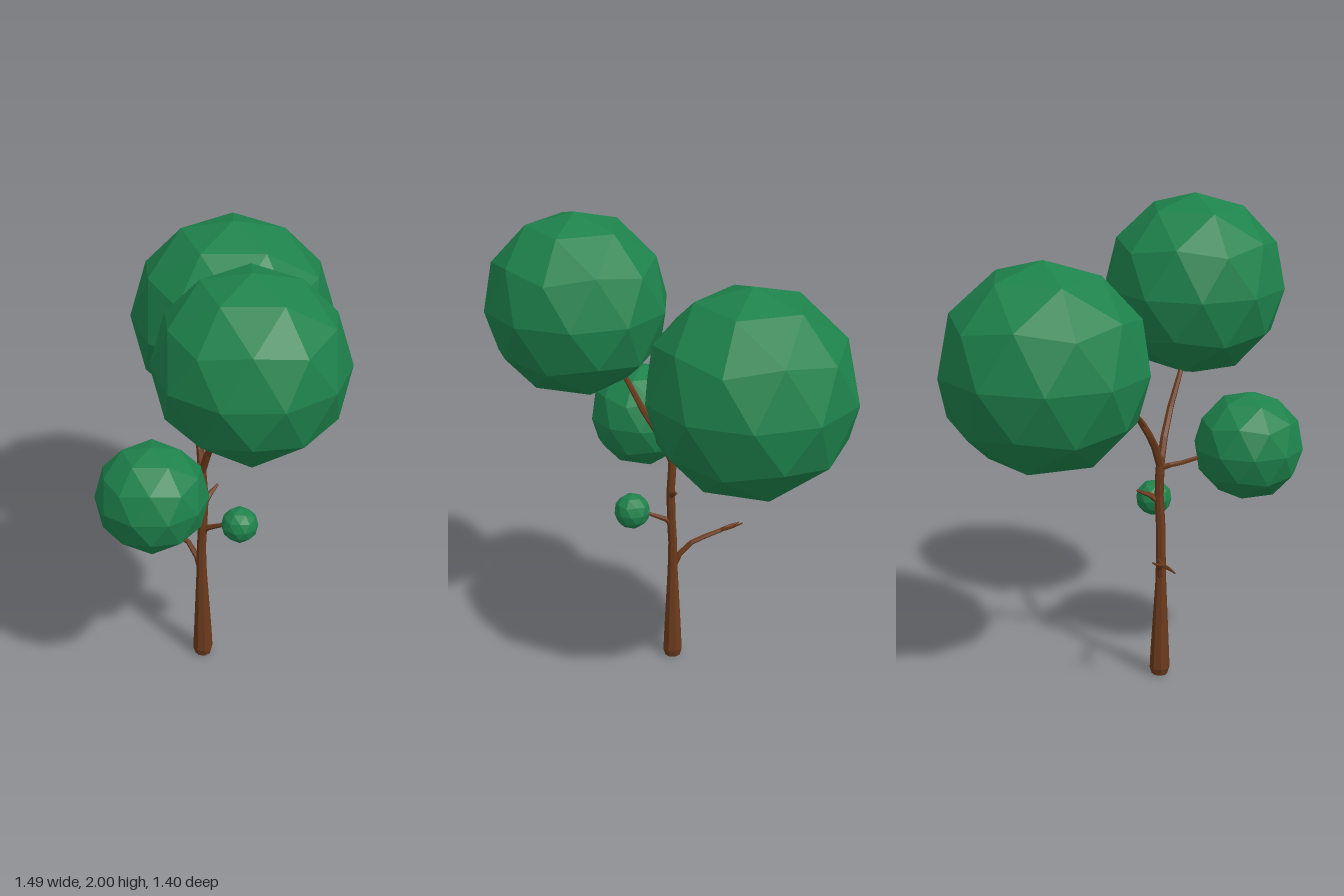
import * as THREE from 'three';

const bark = new THREE.MeshStandardMaterial({ color: 0x6b3a1c, flatShading: true });
const leaf = new THREE.MeshStandardMaterial({ color: 0x1e824c, flatShading: true });

// Tapered faceted limb through points [x, y, z, radius], closed at both ends
function limb(name, points, sides = 6) {
  const centres = points.map(p => new THREE.Vector3(p[0], p[1], p[2]));
  const pos = [], index = [], last = points.length - 1;
  const up = new THREE.Vector3(0, 1, 0);
  points.forEach((p, i) => {
    const dir = centres[Math.min(i + 1, last)].clone().sub(centres[Math.max(i - 1, 0)]).normalize();
    const turn = new THREE.Quaternion().setFromUnitVectors(up, dir);
    for (let s = 0; s < sides; s++) {
      const a = (s + 0.5) / sides * Math.PI * 2;
      const v = new THREE.Vector3(Math.sin(a) * p[3], 0, Math.cos(a) * p[3]);
      v.applyQuaternion(turn).add(centres[i]);
      pos.push(v.x, v.y, v.z);
    }
  });
  for (let i = 0; i < last; i++) {
    for (let s = 0; s < sides; s++) {
      const a = i * sides + s, b = i * sides + (s + 1) % sides;
      index.push(a, b, b + sides, a, b + sides, a + sides);
    }
  }
  for (let s = 1; s < sides - 1; s++) {
    const t = last * sides;
    index.push(0, s + 1, s, t, t + s, t + s + 1);
  }
  const geo = new THREE.BufferGeometry();
  geo.setAttribute('position', new THREE.Float32BufferAttribute(pos, 3));
  geo.setIndex(index);
  geo.computeVertexNormals();
  const mesh = new THREE.Mesh(geo, bark);
  mesh.name = name;
  return mesh;
}

// Faceted leaf ball with a corner pointing straight up
function leafBall(name, x, y, z, r) {
  const geo = new THREE.IcosahedronGeometry(r, 1);
  geo.rotateZ(-Math.atan(2 / (1 + Math.sqrt(5))));
  const mesh = new THREE.Mesh(geo, leaf);
  mesh.position.set(x, y, z);
  mesh.name = name;
  return mesh;
}

export function createModel() {
  const tree = new THREE.Group();
  tree.name = 'tree';

  // Trunk with a rounded foot
  tree.add(limb('trunk', [
    [-0.02, 0, 0.132, 0.034], [-0.02, 0.03, 0.132, 0.043], [-0.02, 0.12, 0.132, 0.039],
    [-0.02, 0.42, 0.135, 0.023], [-0.02, 0.55, 0.135, 0.02], [-0.014, 0.66, 0.132, 0.02],
    [-0.012, 0.8, 0.124, 0.019], [-0.018, 0.9, 0.128, 0.019], [-0.018, 0.97, 0.13, 0.016],
  ], 8));

  // Main branches
  tree.add(limb('upperLeftBranch', [
    [-0.018, 0.93, 0.13, 0.017], [0.03, 1.04, 0.133, 0.016], [0.1, 1.15, 0.142, 0.014],
    [0.17, 1.28, 0.165, 0.011], [0.22, 1.36, 0.175, 0.008],
  ]));
  tree.add(limb('upperRightBranch', [
    [-0.018, 0.93, 0.13, 0.017], [-0.05, 1.02, 0.115, 0.016], [-0.085, 1.08, 0.1, 0.015],
    [-0.115, 1.14, 0.075, 0.014],
  ]));
  tree.add(limb('upperRightTwigA', [
    [-0.11, 1.13, 0.08, 0.014], [-0.15, 1.17, 0.072, 0.01], [-0.19, 1.2, 0.06, 0.005],
  ]));
  tree.add(limb('upperRightTwigB', [
    [-0.112, 1.13, 0.08, 0.014], [-0.098, 1.165, 0.045, 0.01], [-0.085, 1.195, 0, 0.005],
  ]));
  tree.add(limb('frontBranch', [
    [-0.018, 0.92, 0.128, 0.014], [-0.01, 0.935, 0.17, 0.012], [0.015, 0.942, 0.215, 0.01],
    [0.05, 0.96, 0.28, 0.009], [0.08, 0.98, 0.35, 0.006],
  ]));

  // Lower branches
  tree.add(limb('lowerLeftBranch', [
    [-0.018, 0.63, 0.132, 0.013], [0.01, 0.663, 0.12, 0.012], [0.08, 0.703, 0.09, 0.008],
    [0.13, 0.72, 0.068, 0.006],
  ]));
  tree.add(limb('backStub', [
    [-0.012, 0.77, 0.125, 0.014], [-0.022, 0.8, 0.09, 0.012], [-0.038, 0.822, 0.035, 0.005],
  ]));
  tree.add(limb('lowerRightBranch', [
    [-0.02, 0.43, 0.135, 0.016], [-0.05, 0.49, 0.137, 0.013], [-0.1, 0.54, 0.146, 0.011],
    [-0.16, 0.56, 0.168, 0.01], [-0.235, 0.577, 0.2, 0.009],
  ]));
  tree.add(limb('lowerRightTwigA', [
    [-0.225, 0.575, 0.197, 0.009], [-0.275, 0.595, 0.187, 0.007], [-0.32, 0.62, 0.175, 0.003],
  ]));
  tree.add(limb('lowerRightTwigB', [
    [-0.225, 0.575, 0.197, 0.009], [-0.265, 0.58, 0.23, 0.007], [-0.305, 0.58, 0.265, 0.003],
  ]));

  // Foliage
  tree.add(leafBall('largeFoliage', -0.335, 1.402, -0.264, 0.434));
  tree.add(leafBall('topFoliage', 0.375, 1.615, 0.175, 0.385));
  tree.add(leafBall('frontFoliage', 0.118, 1.007, 0.47, 0.228));
  tree.add(leafBall('smallFoliage', 0.15, 0.73, 0.06, 0.077));
  return tree;
}
